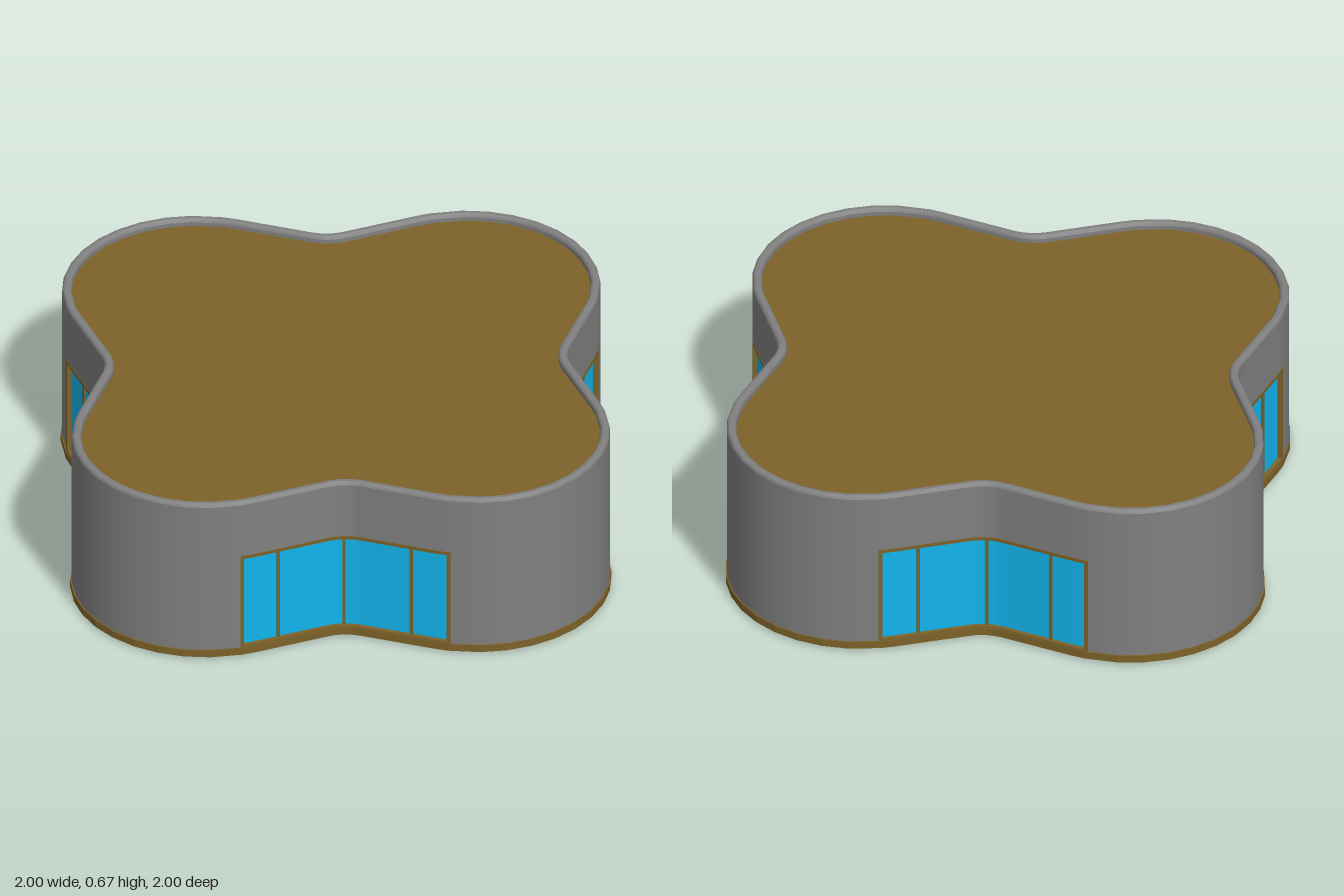
import * as THREE from 'three';

const wallMat = new THREE.MeshStandardMaterial({ color: 0x808080 });
const brownMat = new THREE.MeshStandardMaterial({ color: 0x7d6228 });
const glassMat = new THREE.MeshStandardMaterial({ color: 0x12b4ec });
const blackMat = new THREE.MeshStandardMaterial({ color: 0x111111 });

const SLOPE = THREE.MathUtils.degToRad(20);
const JAMB = Math.asin(0.12 / 0.5);
const BASE_TOP = 0.035, WIN_TOP = 0.435, TOP = 0.67;

// Half of one side, from its middle dip out to the lobe's diagonal.
// Each station is a point (x, z) with an outward normal (nx, nz).
function halfSide() {
  const station = (x, z, t) => ({ x, z, nx: -Math.sin(t), nz: Math.cos(t) });
  const onLobe = t => station(0.5 - 0.5 * Math.sin(t), 0.5 + 0.5 * Math.cos(t), t);
  const start = onLobe(SLOPE);
  const lineAt = x => start.z - (start.x - x) * Math.tan(SLOPE);
  const r = 0.06 / Math.sin(SLOPE);
  const zc = lineAt(0.06) + r * Math.cos(SLOPE);
  const pts = [];
  for (let i = 0; i <= 4; i++) {
    const t = SLOPE * i / 4;
    pts.push(station(r * Math.sin(t), zc - r * Math.cos(t), t));
  }
  pts.push(station(0.24, lineAt(0.24), SLOPE), start, onLobe(JAMB));
  for (let i = 0; i <= 4; i++) pts.push(onLobe(-Math.PI / 4 * i / 4));
  return pts;
}

const half = halfSide();
const mirror = p => ({ x: -p.x, z: p.z, nx: -p.nx, nz: p.nz });
const quarterTurn = p => ({ x: p.z, z: -p.x, nx: p.nz, nz: -p.nx });
const side = [...half.slice(1).reverse().map(mirror), ...half];
const jambIndex = 7, mullionIndex = 5, mid = half.length - 1;
const windowPath = side.slice(mid - jambIndex, mid + jambIndex + 1);
const nextSide = side.map(quarterTurn);
const lobePath = [...side.slice(mid + jambIndex), ...nextSide.slice(1, mid - jambIndex + 1)];

// Whole four-lobed outline
const outline = [];
let turned = side;
for (let k = 0; k < 4; k++) {
  outline.push(...turned.slice(0, -1));
  turned = turned.map(quarterTurn);
}

// Sweep a profile of [offset, y] along a path: smooth along it, sharp across it.
function sweep(path, profile) {
  const pos = [], nor = [], idx = [];
  for (let j = 0; j < profile.length - 1; j++) {
    const [d0, y0] = profile[j], [d1, y1] = profile[j + 1];
    const len = Math.hypot(d1 - d0, y1 - y0);
    const nd = (y1 - y0) / len, ny = (d0 - d1) / len;
    const first = pos.length / 3;
    path.forEach((p, i) => {
      for (const [d, y] of [profile[j], profile[j + 1]]) {
        pos.push(p.x + p.nx * d, y, p.z + p.nz * d);
        nor.push(p.nx * nd, ny, p.nz * nd);
      }
      if (i < path.length - 1) {
        const a = first + 2 * i;
        idx.push(a, a + 2, a + 3, a, a + 3, a + 1);
      }
    });
  }
  const g = new THREE.BufferGeometry();
  g.setAttribute('position', new THREE.Float32BufferAttribute(pos, 3));
  g.setAttribute('normal', new THREE.Float32BufferAttribute(nor, 3));
  g.setIndex(idx);
  return g;
}

const rect = (d0, d1, y0, y1) => [[d1, y0], [d1, y1], [d0, y1], [d0, y0], [d1, y0]];

// Flat slab filling the outline, offset by d
function slab(d, y0, y1) {
  const shape = new THREE.Shape(outline.map(p => new THREE.Vector2(p.x + p.nx * d, -(p.z + p.nz * d))));
  return new THREE.ExtrudeGeometry(shape, { depth: y1 - y0, bevelEnabled: false })
    .rotateX(-Math.PI / 2).translate(0, y0, 0);
}

function add(parent, name, geometry, material) {
  const mesh = new THREE.Mesh(geometry, material);
  mesh.name = name;
  parent.add(mesh);
  return mesh;
}

// Upright bar standing in the wall at a station
function post(parent, name, p, width, depth, d) {
  const h = WIN_TOP - BASE_TOP;
  const mesh = add(parent, name, new THREE.BoxGeometry(width, h, depth), brownMat);
  mesh.position.set(p.x + p.nx * d, BASE_TOP + h / 2, p.z + p.nz * d);
  mesh.rotation.y = Math.atan2(p.nx, p.nz);
}

function createWindow() {
  const g = new THREE.Group();
  g.name = 'curvedWindow';
  add(g, 'glass', sweep(windowPath, rect(-0.03, -0.02, BASE_TOP, WIN_TOP)), glassMat);
  add(g, 'windowHead', sweep(windowPath, rect(-0.042, -0.003, WIN_TOP - 0.013, WIN_TOP)), brownMat);
  add(g, 'windowSill', sweep(windowPath, rect(-0.042, -0.003, BASE_TOP, BASE_TOP + 0.007)), brownMat);
  for (const s of [p => p, mirror]) {
    post(g, 'windowJamb', s(half[jambIndex]), 0.014, 0.04, -0.023);
    post(g, 'mullion', s(half[mullionIndex]), 0.012, 0.02, -0.023);
  }
  post(g, 'mullion', half[0], 0.012, 0.02, -0.023);
  return g;
}

export function createModel() {
  const model = new THREE.Group();
  model.name = 'lobedPavilion';
  const ring = [...outline, outline[0]];

  // Ground slab and floor plinth
  add(model, 'underside', slab(-0.025, 0, 0.01), blackMat);
  add(model, 'plinth', slab(0, 0.006, BASE_TOP), brownMat);

  // Upper wall band with a softened parapet rim
  add(model, 'upperWall', sweep(ring, [
    [-0.04, WIN_TOP], [-0.005, WIN_TOP], [-0.005, TOP - 0.012], [-0.009, TOP - 0.004], [-0.016, TOP],
    [-0.029, TOP], [-0.036, TOP - 0.004], [-0.04, TOP - 0.012], [-0.04, WIN_TOP],
  ]), wallMat);
  add(model, 'roof', slab(-0.038, 0.625, 0.642), brownMat);

  // Four lobes of lower wall and the windows between them
  for (let k = 0; k < 4; k++) {
    const quarter = new THREE.Group();
    quarter.name = 'quarter';
    quarter.rotation.y = k * Math.PI / 2;
    add(quarter, 'lobeWall', sweep(lobePath, rect(-0.04, -0.005, BASE_TOP, WIN_TOP)), wallMat);
    quarter.add(createWindow());
    model.add(quarter);
  }
  return model;
}
